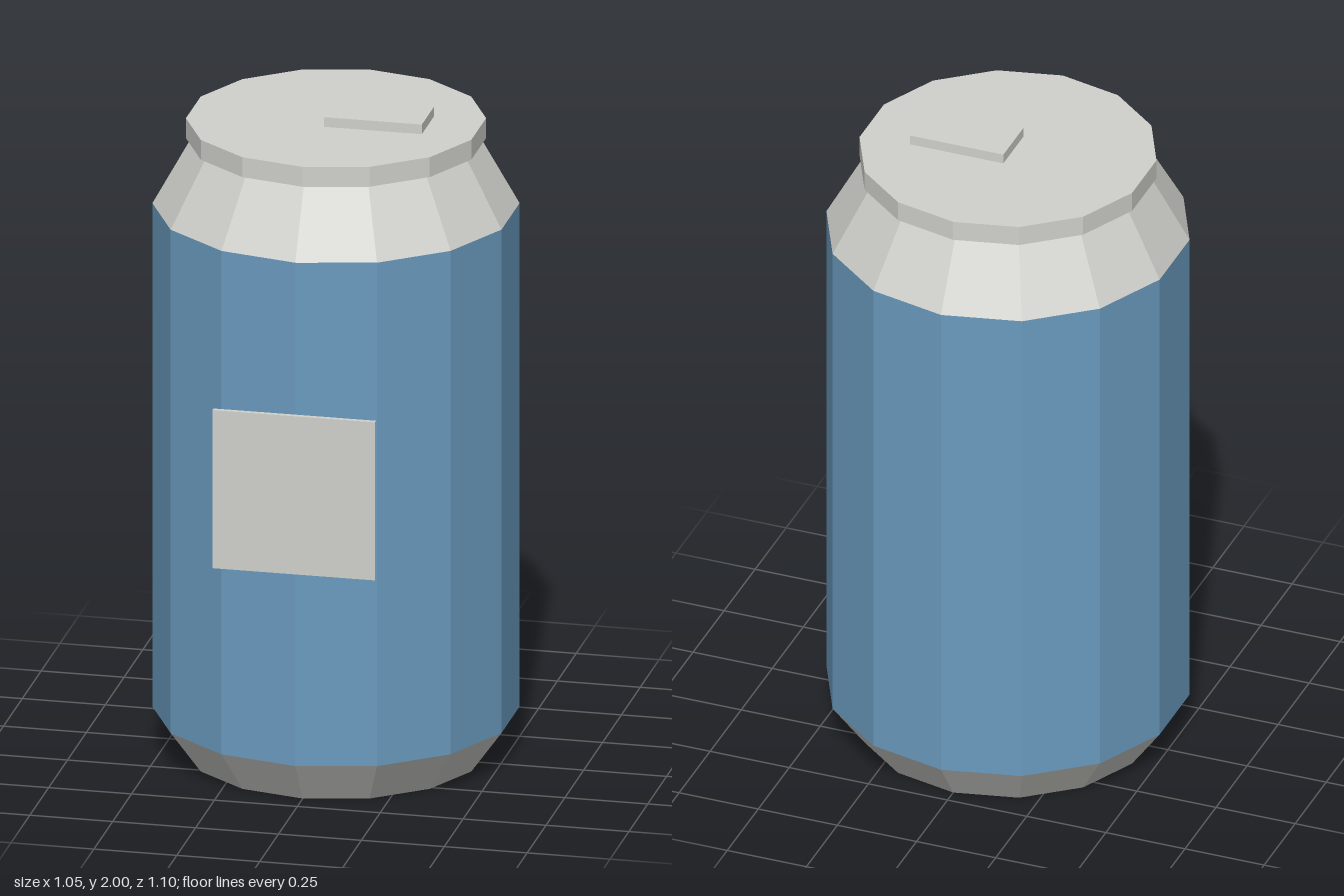
import * as THREE from 'three';

const SIDES = 14;
const CENTRE_Z = -0.013;

export function createModel() {
  const can = new THREE.Group();
  can.name = 'drinkCan';

  const metal = new THREE.MeshStandardMaterial({ color: 0xd0d0cc, flatShading: true });
  metal.name = 'brushed metal';
  const blue = new THREE.MeshStandardMaterial({ color: 0x6a9bbf, flatShading: true });
  blue.name = 'blue paint';

  const add = (name, geometry, material, x, y, z) => {
    const mesh = new THREE.Mesh(geometry, material);
    mesh.name = name;
    mesh.position.set(x, y, z);
    can.add(mesh);
  };

  // Each ring of the can: name, bottom y, top y, bottom radius, top radius, material
  const rings = [
    ['base', 0, 0.135, 0.4415, 0.54, metal],
    ['body', 0.135, 1.705, 0.54, 0.54, blue],
    ['neck', 1.705, 1.908, 0.54, 0.426, metal],
    ['lid', 1.908, 1.97, 0.4415, 0.4415, metal],
  ];
  for (const [name, y0, y1, r0, r1, material] of rings) {
    const closed = name === 'base' || name === 'lid';
    const geometry = new THREE.CylinderGeometry(r1, r0, y1 - y0, SIDES, 1, !closed);
    add(name, geometry, material, 0, (y0 + y1) / 2, CENTRE_Z);
  }

  // Opening tab on the lid, set off towards one side
  add('pullTab', new THREE.BoxGeometry(0.295, 0.03, 0.164), metal, 0.13, 1.985, CENTRE_Z);

  // Square label plate standing just clear of the front
  add('label', new THREE.BoxGeometry(0.49, 0.493, 0.015), metal, 0, 0.987, 0.5405);

  return can;
}
